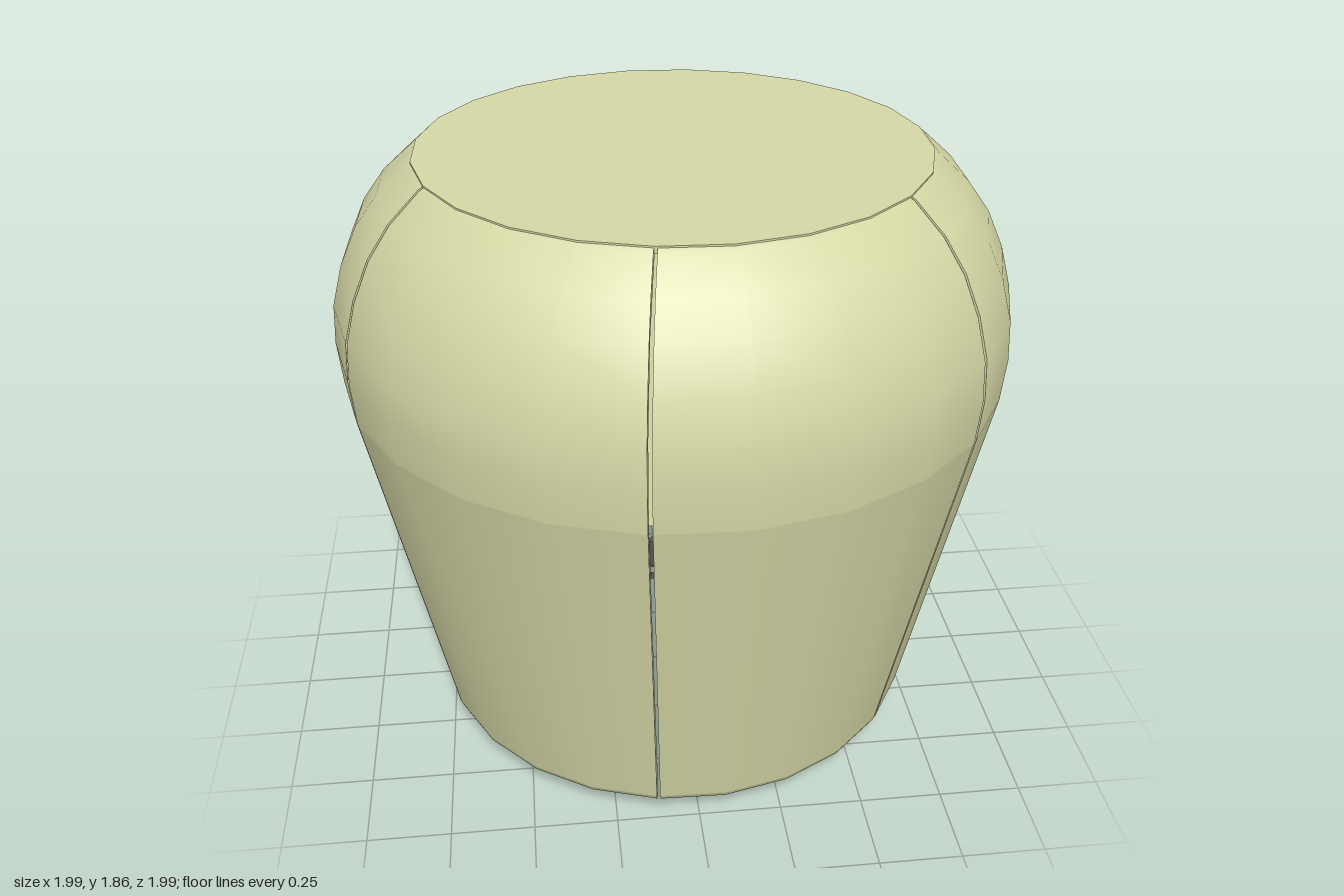
import * as THREE from 'three';

const shellColor = new THREE.MeshStandardMaterial({ color: 0xd6d8a6, side: THREE.DoubleSide });
shellColor.name = 'pale olive upholstery';
const footColor = new THREE.MeshStandardMaterial({ color: 0x58585c });
footColor.name = 'dark grey metal';

const rad = THREE.MathUtils.degToRad;
const pts = (list) => list.map(([r, y]) => new THREE.Vector2(r, y));

// Outer profile, split where the surface has a crease (radius, height)
const hem = pts([[0.725, 0.07], [0.752, 0.072], [0.766, 0.083], [0.773, 0.1]]);
const skirt = pts([[0.773, 0.1], [0.99, 1.2]]);
const shoulder = pts([[0.99, 1.2], [1.0, 1.33], [0.992, 1.45], [0.958, 1.57],
  [0.907, 1.68], [0.84, 1.77], [0.75, 1.85], [0.73, 1.86]]);
// Inner lining, from the top down
const lining = pts([[0.73, 1.86], [0.72, 1.83], [0.875, 1.68], [0.96, 1.45], [0.965, 1.2], [0.725, 0.07]]);

const SEAM = -9.4;      // angle of the first seam, in degrees
const HALF_GAP = 0.35;  // half the open gap between panels, in degrees

function mesh(geometry, material, name) {
  const m = new THREE.Mesh(geometry, material);
  m.name = name;
  return m;
}

// One upholstered panel, spanning a sixth of the turn
function createPanel(start) {
  const panel = new THREE.Group();
  panel.name = 'panel';
  const from = rad(start + HALF_GAP);
  const span = rad(60 - 2 * HALF_GAP);
  const sweep = (profile, sides, name) =>
    panel.add(mesh(new THREE.LatheGeometry(profile, sides, from, span), shellColor, name));
  sweep(hem, 4, 'hem');
  sweep(skirt, 4, 'skirt');
  sweep(shoulder, 4, 'shoulder');
  sweep(lining, 2, 'lining');

  // Closed edges facing the neighbouring panels
  const section = new THREE.Shape([...hem, ...skirt.slice(1), ...shoulder.slice(1), ...lining.slice(1, -1)]);
  for (const angle of [from, from + span]) {
    const edge = mesh(new THREE.ShapeGeometry(section), shellColor, 'panelEdge');
    edge.rotation.y = angle - Math.PI / 2;
    panel.add(edge);
  }
  return panel;
}

// Levelling foot: pad, collar and threaded stem
function createFoot(x, z) {
  const foot = new THREE.Group();
  foot.name = 'foot';
  const add = (top, bottom, y0, y1, name) => {
    const part = mesh(new THREE.CylinderGeometry(top, bottom, y1 - y0, 16), footColor, name);
    part.position.y = (y0 + y1) / 2;
    foot.add(part);
  };
  add(0.045, 0.045, 0, 0.026, 'footPad');
  add(0.026, 0.043, 0.026, 0.042, 'footCollar');
  add(0.018, 0.018, 0.042, 0.15, 'footStem');
  foot.position.set(x, 0, z);
  return foot;
}

export function createModel() {
  const model = new THREE.Group();
  model.name = 'pouf';

  for (let i = 0; i < 6; i++) model.add(createPanel(SEAM + 60 * i));

  // Flat seat on top
  const seat = mesh(new THREE.CylinderGeometry(0.738, 0.738, 0.02, 24, 1, false, rad(SEAM)), shellColor, 'seat');
  seat.position.y = 1.851;
  model.add(seat);

  // Central foot and four around it
  model.add(createFoot(0, 0));
  for (let i = 0; i < 4; i++) {
    const a = rad(2.3 + 90 * i);
    model.add(createFoot(0.5 * Math.sin(a), 0.5 * Math.cos(a)));
  }
  return model;
}
